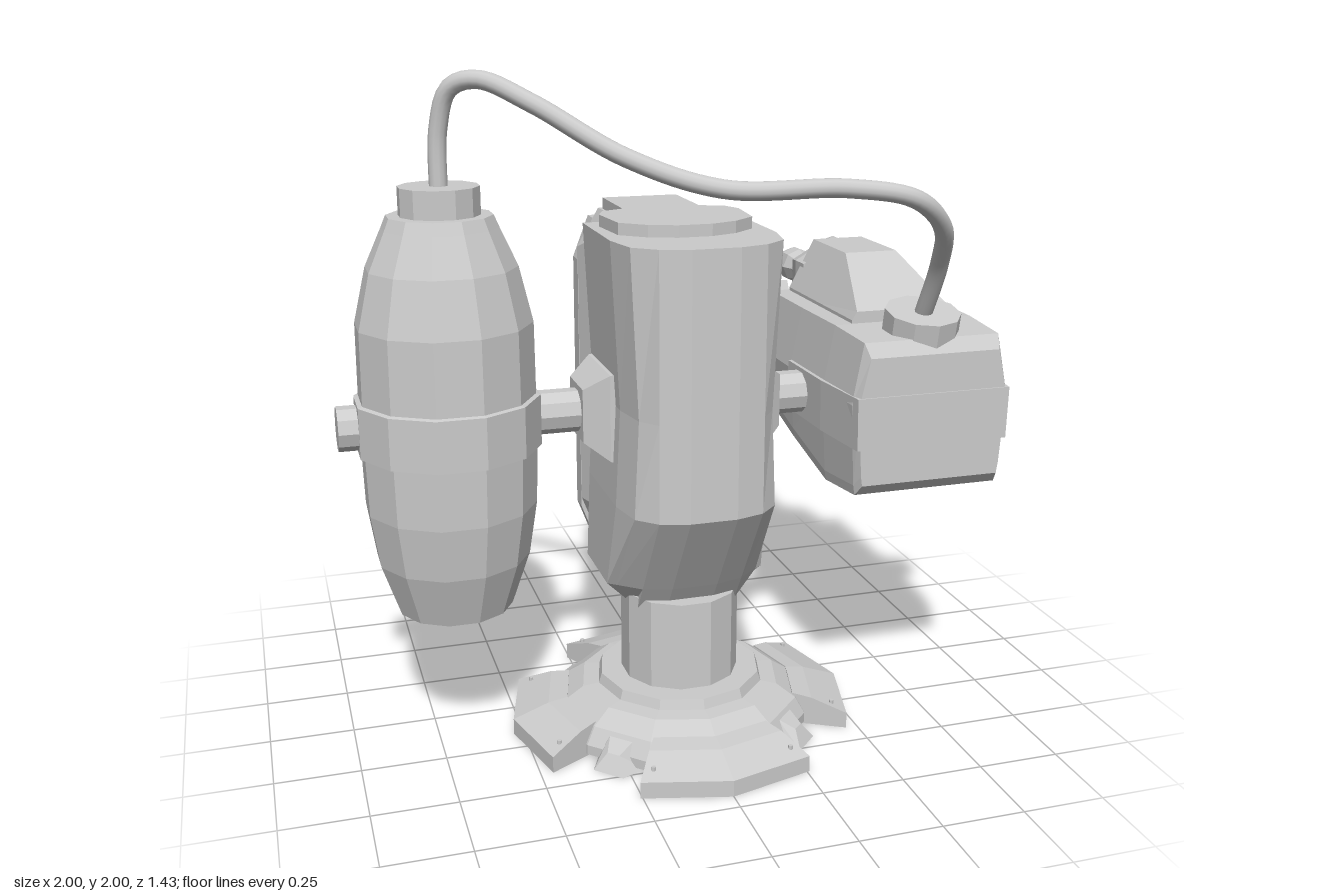
import * as THREE from 'three';

const mat = new THREE.MeshStandardMaterial({ color: 0xcccccc, flatShading: true, side: THREE.DoubleSide });
const smooth = new THREE.MeshStandardMaterial({ color: 0xcccccc });
const V = (a) => new THREE.Vector3(...a);

// Closed solid through a list of rings of equal point count, capped at both ends
function loft(rings) {
  const tris = [], n = rings[0].length;
  for (let i = 0; i < rings.length - 1; i++) {
    for (let j = 0; j < n; j++) {
      const k = (j + 1) % n, a = rings[i], b = rings[i + 1];
      tris.push([a[j], a[k], b[k]], [a[j], b[k], b[j]]);
    }
  }
  const cap = (r, flip) => {
    const c = [0, 1, 2].map((d) => r.reduce((s, p) => s + p[d], 0) / n);
    r.forEach((p, j) => {
      const q = r[(j + 1) % n];
      tris.push(flip ? [c, q, p] : [c, p, q]);
    });
  };
  cap(rings[0], true);
  cap(rings[rings.length - 1], false);
  // Turn the faces outward
  const vol = tris.reduce((s, [a, b, c]) => s + V(a).dot(V(b).cross(V(c))), 0);
  if (vol < 0) tris.forEach((t) => t.reverse());
  const g = new THREE.BufferGeometry();
  g.setAttribute('position', new THREE.Float32BufferAttribute(tris.flat(2), 3));
  g.computeVertexNormals();
  return g;
}

const pairs = (pts) => pts.map(([x, y]) => new THREE.Vector2(x, y));
const mirrorX = (half) => [...half, ...half.slice().reverse().map(([x, ...r]) => [-x, ...r])];
const turned = (pts, n) => new THREE.LatheGeometry(pairs(pts), n);

export function createModel() {
  const model = new THREE.Group();
  const add = (name, geo, pos = [0, 0, 0], rot = [0, 0, 0], parent = model, m = mat) => {
    const mesh = new THREE.Mesh(geo, m);
    mesh.name = name;
    mesh.position.set(...pos);
    mesh.rotation.set(...rot);
    parent.add(mesh);
    return mesh;
  };

  // Base: hollow stepped ring, four splayed feet and a short column
  const base = new THREE.Group();
  base.name = 'base';
  base.position.z = 0.165;
  model.add(base);
  add('baseRing', turned([[0, 0.09], [0.25, 0.09], [0.31, 0.01], [0.40, 0.01], [0.40, 0.04], [0.37, 0.09],
    [0.31, 0.13], [0.26, 0.135], [0.25, 0.165], [0, 0.165]], 12), [0, 0, 0], [0, 0, 0], base);
  const footProfile = [[0.36, 0], [0.53, 0], [0.53, 0.05], [0.42, 0.09], [0.36, 0.1]];
  const foot = loft([-29, 0, 29].map((d) => {
    const a = THREE.MathUtils.degToRad(d);
    return footProfile.map(([r, y]) => [r * Math.sin(a), y, r * Math.cos(a)]);
  }));
  for (let i = 0; i < 4; i++) {
    add('foot', foot, [0, 0, 0], [0, i * Math.PI / 2, 0], base);
    // small wedge between neighbouring feet
    const wedge = loft([[[-0.08, 0, 0.36], [0.08, 0, 0.36], [0.05, 0, 0.44], [-0.05, 0, 0.44]],
      [[-0.04, 0.08, 0.36], [0.04, 0.08, 0.36], [0.02, 0.05, 0.41], [-0.02, 0.05, 0.41]]]);
    add('footWedge', wedge, [0, 0, 0], [0, (i + 0.5) * Math.PI / 2, 0], base);
    // rivets near the foot ends
    for (const d of [-0.45, 0.45]) {
      const a = i * Math.PI / 2 + d;
      add('rivet', new THREE.CylinderGeometry(0.007, 0.007, 0.012, 6),
        [0.48 * Math.sin(a), 0.07, 0.48 * Math.cos(a)], [0, 0, 0], base);
    }
  }
  add('column', new THREE.CylinderGeometry(0.18, 0.18, 0.3, 12), [0, 0.29, 0], [0, Math.PI / 12, 0], base);

  // Main body: faceted front that slopes in towards the column
  const bodyRing = (y, front, w) => mirrorX([[0.07, y, front], [0.155, y, front - 0.025],
    [w * 0.9, y, front - 0.08], [w, y, Math.min(0.3, front - 0.1)], [w, y, -0.02]]);
  add('body', loft([bodyRing(0.4, 0.265, 0.165), bodyRing(0.49, 0.325, 0.245), bodyRing(0.76, 0.5, 0.235),
    bodyRing(1.05, 0.5, 0.22), bodyRing(1.54, 0.5, 0.245)]));
  const spineRing = ([y, w]) => mirrorX([[0.12, y, 0], [w, y, -0.29]]);
  add('spine', loft([[0.4, 0.13], [0.58, 0.2], [1.42, 0.2], [1.54, 0.13]].map(spineRing)));
  const panelRing = (z, w, y0, y1, e) => mirrorX([[w - 0.05, y0, z], [w, y0 + e, z], [w, y1 - e, z], [w - 0.05, y1, z]]);
  add('backPanel', loft([panelRing(-0.285, 0.2, 0.42, 1.51, 0.13), panelRing(-0.345, 0.2, 0.42, 1.51, 0.13),
    panelRing(-0.385, 0.15, 0.59, 1.32, 0.04)]));
  const capShape = new THREE.Shape(pairs(mirrorX([[0.12, 0.27], [0.12, 0.03], [0.19, 0], [0.215, -0.06],
    [0.2, -0.22], [0.13, -0.28], [0.05, -0.31]])));
  add('topCap', new THREE.ExtrudeGeometry(capShape, { depth: 0.035, bevelEnabled: false }),
    [0, 1.54, 0], [-Math.PI / 2, 0, 0]);

  // Hinge plates, axles and outer pegs on both sides
  const plate = (x, h) => [[x, 1.01 - h, 0.12 - h], [x, 1.01 - h, 0.12 + h], [x, 1.01 + h, 0.12 + h], [x, 1.01 + h, 0.12 - h]];
  for (const s of [-1, 1]) {
    add('hingePlate', loft([plate(s * 0.2, 0.135), plate(s * 0.235, 0.13), plate(s * 0.305, 0.08)]));
    add('axle', new THREE.CylinderGeometry(0.065, 0.065, 0.16, 10), [s * 0.37, 1.01, 0.12], [0, 0, Math.PI / 2]);
    add('peg', new THREE.CylinderGeometry(0.065, 0.065, 0.1, 10), [s * 0.95, 1.01, 0.12], [0, 0, Math.PI / 2]);
  }

  // Tank on the right side
  const tank = new THREE.Group();
  tank.name = 'tank';
  tank.position.set(-0.685, 0, 0.12);
  tank.rotation.y = Math.PI / 12;
  model.add(tank);
  add('tankShell', turned([[0, 0.415], [0.17, 0.44], [0.225, 0.6], [0.25, 0.76], [0.255, 0.93], [0.255, 1.09],
    [0.253, 1.3], [0.215, 1.46], [0.165, 1.57], [0.15, 1.605], [0, 1.605]], 12), [0, 0, 0], [0, 0, 0], tank);
  add('tankBand', turned([[0.25, 0.93], [0.268, 0.935], [0.268, 1.085], [0.25, 1.09]], 12), [0, 0, 0], [0, 0, 0], tank);
  add('tankNeck', new THREE.CylinderGeometry(0.115, 0.115, 0.09, 12), [0, 1.64, 0], [0, 0, 0], tank);

  // Nozzle pod on the left side
  const pod = new THREE.Group();
  pod.name = 'pod';
  pod.position.x = 0.665;
  model.add(pod);
  const podRing = ([z, y0, y1, s]) => mirrorX([[0.24 * s, y0, z], [0.245 * s, y0 + 0.03, z],
    [0.26 * s, 1.06, z], [0.225 * s, y1, z]]);
  add('podHousing', loft([[0.5, 0.82, 1.2, 0.9], [0.47, 0.785, 1.24, 0.94], [0.28, 0.77, 1.25, 0.98],
    [0.03, 0.83, 1.25, 1], [-0.24, 0.9, 1.25, 1], [-0.255, 0.93, 1.23, 0.95]].map(podRing)), [0, 0, 0], [0, 0, 0], pod);
  const bandRing = ([z, w]) => mirrorX([[w - 0.003, 0.93, z], [w, 1.085, z]]);
  add('podBand', loft([[0.505, 0.24], [0.28, 0.262], [0.03, 0.267]].map(bandRing)), [0, 0, 0], [0, 0, 0], pod);
  const humpRing = ([z, w, y]) => mirrorX([[0.165, 1.2, z], [0.165, 1.26, z], [w, y, z]]);
  add('podHump', loft([[0.275, 0.15, 1.285], [0.03, 0.085, 1.415], [-0.23, 0.085, 1.415]].map(humpRing)),
    [0, 0, 0], [0, 0, 0], pod);
  add('hoseSocket', new THREE.CylinderGeometry(0.112, 0.112, 0.09, 10), [0.005, 1.26, 0.385], [0.2, 0, 0], pod);

  // Barrel with its hexagonal mount, pointing backwards
  const back = [-Math.PI / 2, 0, 0];
  add('barrelMount', turned([[0, 0.2], [0.15, 0.2], [0.15, 0.27], [0.125, 0.35], [0, 0.35]], 6), [0, 1.265, 0], back, pod);
  add('barrel', turned([[0, 0.33], [0.052, 0.33], [0.045, 0.52], [0.06, 0.56], [0.06, 0.61], [0.038, 0.68],
    [0.024, 0.68], [0.024, 0.6], [0, 0.6]], 8), [0, 1.26, 0], back, pod);

  // Igniter bar under the barrel, curling up at its tip
  add('igniterMount', new THREE.BoxGeometry(0.08, 0.055, 0.05), [0, 1.01, -0.26], [0, 0, 0], pod);
  const bar = [[-0.26, 1.01, 0.012], [-0.53, 1.01, 0.012], [-0.62, 1.03, 0.014], [-0.67, 1.08, 0.016], [-0.72, 1.16, 0.018]];
  add('igniterBar', loft(bar.map(([z, y, t]) => mirrorX([[0.02, y - t, z], [0.02, y + t, z]]))), [0, 0, 0], [0, 0, 0], pod);

  // Hose from tank to pod
  const path = new THREE.CatmullRomCurve3([[-0.685, 1.64, 0.12], [-0.68, 1.84, 0.125], [-0.65, 1.95, 0.155],
    [-0.58, 1.975, 0.205], [-0.45, 1.915, 0.285], [-0.23, 1.78, 0.42], [0, 1.705, 0.55], [0.3, 1.71, 0.66],
    [0.48, 1.68, 0.685], [0.6, 1.59, 0.62], [0.655, 1.47, 0.51], [0.67, 1.27, 0.38]].map(V));
  add('hose', new THREE.TubeGeometry(path, 90, 0.026, 12), [0, 0, 0], [0, 0, 0], model, smooth);

  return model;
}
